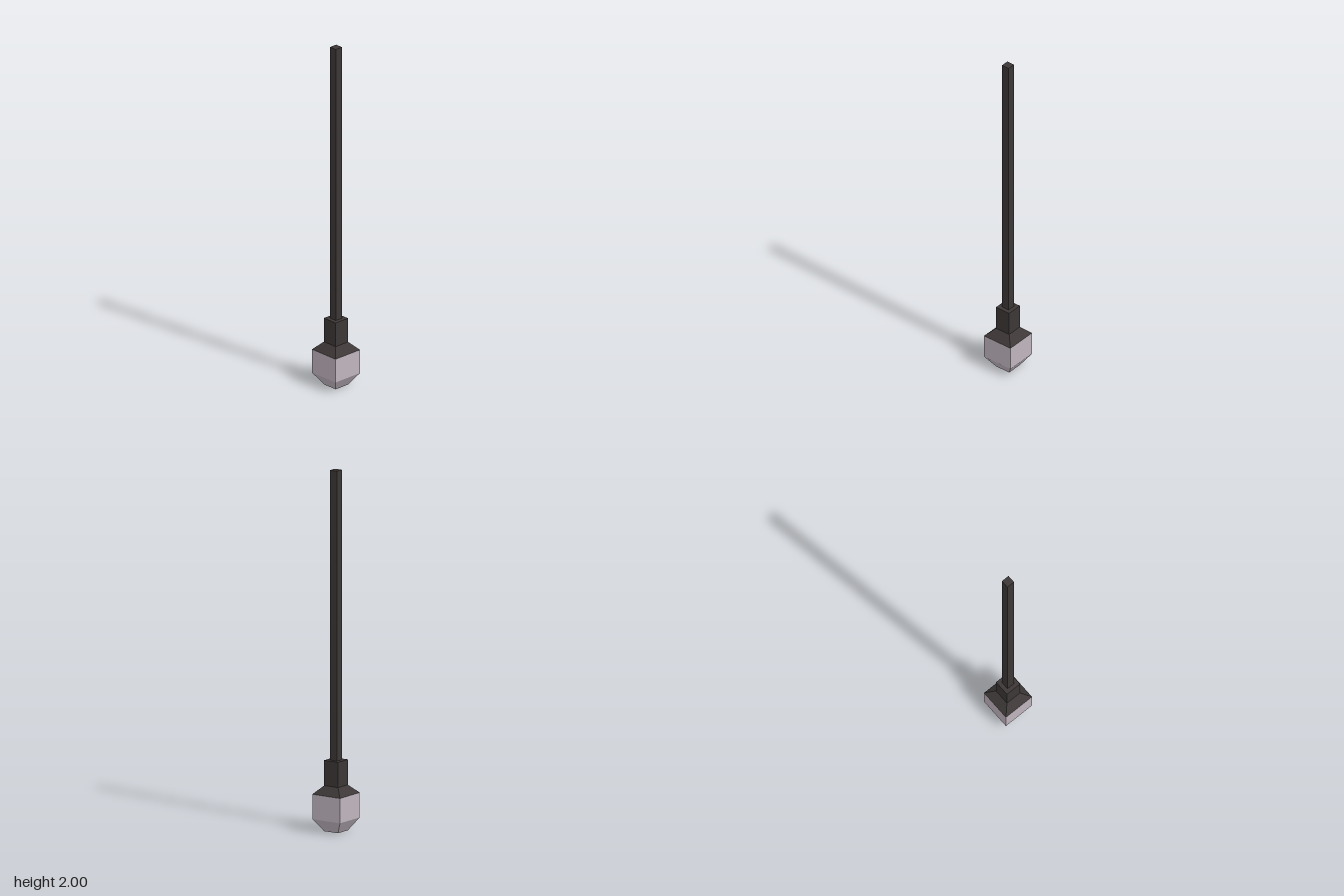
import * as THREE from 'three';

export function createModel() {
  const model = new THREE.Group();
  model.name = 'pendantLamp';

  const darkMetal = new THREE.MeshStandardMaterial({ color: 0x3d3737, flatShading: true });
  darkMetal.name = 'dark metal';
  const paleGlass = new THREE.MeshStandardMaterial({ color: 0xbfb4bd, flatShading: true });
  paleGlass.name = 'pale glass';

  // Square block from y0 to y1, with half-widths at bottom and top
  function block(name, material, y0, y1, bottom, top, openEnded = false) {
    const g = new THREE.CylinderGeometry(top * Math.SQRT2, bottom * Math.SQRT2, y1 - y0, 4, 1, openEnded);
    g.rotateY(Math.PI / 4);
    const mesh = new THREE.Mesh(g, material);
    mesh.name = name;
    mesh.position.y = (y0 + y1) / 2;
    model.add(mesh);
  }

  // Hanging rod and socket
  block('rod', darkMetal, 0.393, 2, 0.023, 0.023);
  block('socket', darkMetal, 0.253, 0.393, 0.046, 0.046);
  // Flared cap above the bulb
  block('cap', darkMetal, 0.207, 0.253, 0.092, 0.046, true);
  // Bulb: square body with a tapered underside
  block('bulbBody', paleGlass, 0.069, 0.207, 0.092, 0.092, true);
  block('bulbTip', paleGlass, 0, 0.069, 0.046, 0.092);

  return model;
}
